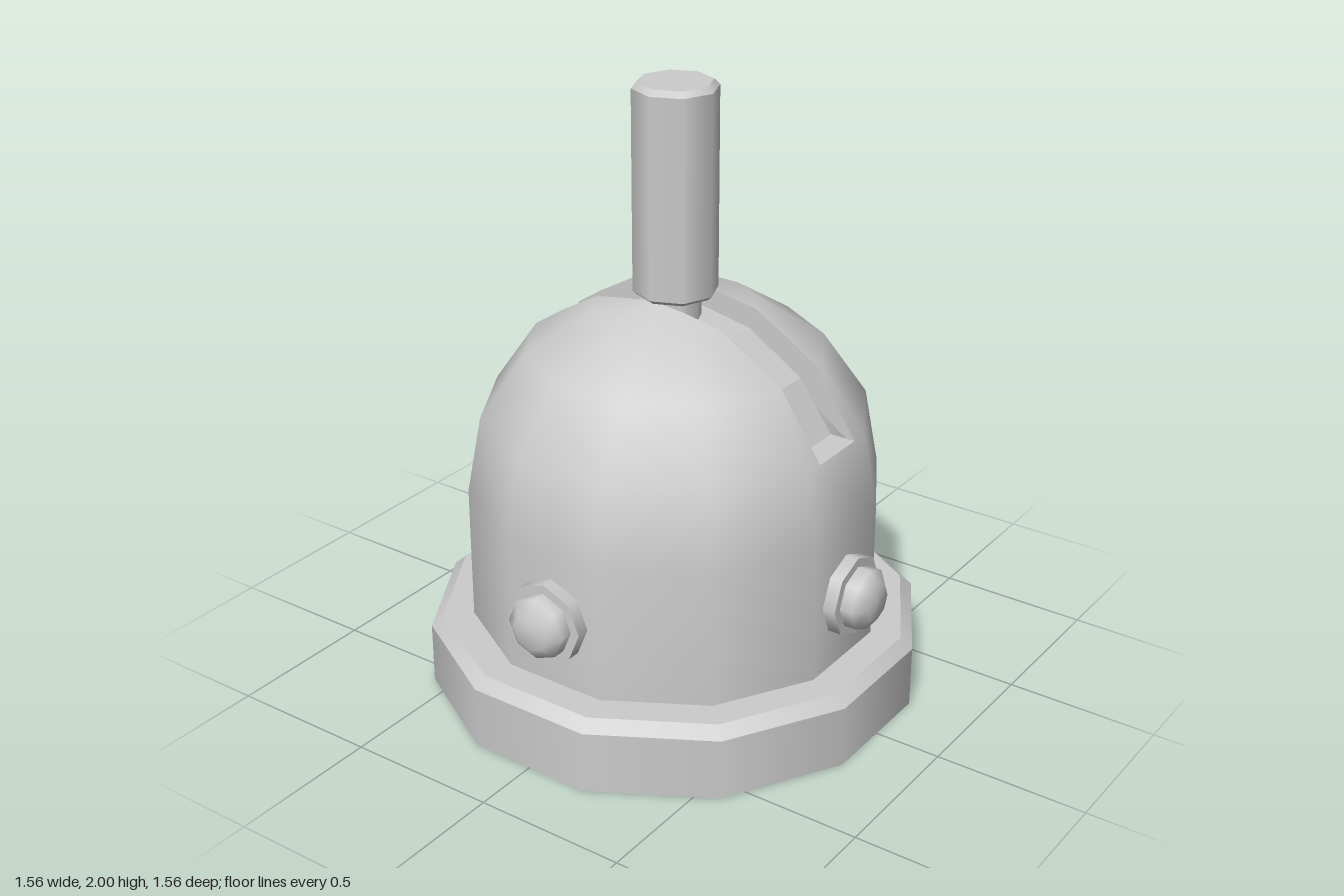
import * as THREE from 'three';
import { mergeGeometries } from 'three/addons/utils/BufferGeometryUtils.js';

const grey = new THREE.MeshStandardMaterial({ color: 0xcccccc });
const greySheet = new THREE.MeshStandardMaterial({ color: 0xcccccc, side: THREE.DoubleSide });

const SIDES = 12;
const TURN = Math.PI / SIDES;        // puts flat sides on the x and z axes
const SLOT_HALF = 0.1;
const SLOT_BOTTOM = 0.94;
const FLOOR = [[0, 1.26], [0.21, 1.22], [0.4, 1.1], [0.515, SLOT_BOTTOM]];   // z, y

const vectors = (pts, k = 1) => pts.map(([r, y]) => new THREE.Vector2(r * k, y));

// Lathe that is smooth around but sharp at every profile corner
function sharpLathe(pts, sides, start = 0, k = 1) {
  const v = vectors(pts, k);
  return mergeGeometries(v.slice(1).map((p, i) =>
    new THREE.LatheGeometry([v[i], p], sides, start)));
}

function part(name, geometry, material = grey) {
  const mesh = new THREE.Mesh(geometry, material);
  mesh.name = name;
  return mesh;
}

// Height of the slot floor at a given z
function floorY(z) {
  const a = Math.abs(z);
  for (let i = 1; i < FLOOR.length; i++) {
    const [z0, y0] = FLOOR[i - 1], [z1, y1] = FLOOR[i];
    if (a <= z1) return y0 + (y1 - y0) * (a - z0) / (z1 - z0);
  }
  return SLOT_BOTTOM;
}

// Keep the part of a polygon outside the slot on one side
function clip(poly, side) {
  const out = [];
  poly.forEach((a, i) => {
    const b = poly[(i + 1) % poly.length];
    const da = side * a.p.x - SLOT_HALF, db = side * b.p.x - SLOT_HALF;
    if (da >= 0) out.push(a);
    if (da * db < 0) {
      const t = da / (da - db);
      const cut = { p: a.p.clone().lerp(b.p, t), n: a.n.clone().lerp(b.n, t).normalize(), cut: true };
      cut.p.x = side * SLOT_HALF;
      out.push(cut);
    }
  });
  return out;
}

function flatGeometry(points) {
  const g = new THREE.BufferGeometry().setFromPoints(points);
  g.computeVertexNormals();
  return g;
}

const quad = (a, b, c, d) => [a, b, c, a, c, d];

// Dome shell with a slot running over the top from front to back
function makeDome() {
  const profile = [[0.645, 0.24], [0.645, 0.69], [0.6, SLOT_BOTTOM], [0.46, 1.15], [0.25, 1.29], [0, 1.34]];
  const lathe = new THREE.LatheGeometry(vectors(profile, 1 / Math.cos(TURN)), SIDES, TURN).toNonIndexed();
  const P = lathe.attributes.position, N = lathe.attributes.normal;
  const points = [], normals = [], walls = [];
  const emit = (poly) => {
    for (let i = 2; i < poly.length; i++) {
      for (const v of [poly[0], poly[i - 1], poly[i]]) {
        points.push(v.p);
        normals.push(...v.n.toArray());
      }
    }
  };
  const drop = (p) => new THREE.Vector3(p.x, Math.min(p.y, floorY(p.z)), p.z);

  for (let i = 0; i < P.count; i += 3) {
    const tri = [0, 1, 2].map((j) => ({
      p: new THREE.Vector3().fromBufferAttribute(P, i + j),
      n: new THREE.Vector3().fromBufferAttribute(N, i + j),
    }));
    if (tri.some((v) => v.p.y < SLOT_BOTTOM - 0.001)) {
      emit(tri);
      continue;
    }
    for (const side of [-1, 1]) {
      const poly = clip(tri, side);
      emit(poly);
      const cuts = poly.filter((v) => v.cut).map((v) => v.p);
      if (cuts.length === 2) walls.push(...quad(cuts[0], drop(cuts[0]), drop(cuts[1]), cuts[1]));
    }
  }
  const shell = new THREE.BufferGeometry().setFromPoints(points);
  shell.setAttribute('normal', new THREE.Float32BufferAttribute(normals, 3));

  // Slot floor, with a small flat ledge at each end
  const floor = [];
  const line = [...FLOOR, [0.6, SLOT_BOTTOM]];
  for (const s of [-1, 1]) {
    for (let i = 1; i < line.length; i++) {
      const at = (x, [z, y]) => new THREE.Vector3(x * s, y, z * s);
      floor.push(...quad(at(-SLOT_HALF, line[i - 1]), at(-SLOT_HALF, line[i]),
        at(SLOT_HALF, line[i]), at(SLOT_HALF, line[i - 1])));
    }
  }

  const dome = new THREE.Group();
  dome.name = 'dome';
  dome.add(part('domeShell', shell, greySheet));
  dome.add(part('slotWalls', flatGeometry(walls), greySheet));
  dome.add(part('slotFloor', flatGeometry(floor), greySheet));
  return dome;
}

// Side bolt pointing along +z: washer and rounded head
function makeBolt() {
  const bolt = new THREE.Group();
  bolt.name = 'bolt';
  const washer = sharpLathe([[0, 0.63], [0.132, 0.63], [0.132, 0.688], [0, 0.688]], 8);
  const head = new THREE.LatheGeometry(
    vectors([[0.102, 0.685], [0.102, 0.73], [0.06, 0.762], [0, 0.765]]), 8);
  for (const mesh of [part('washer', washer), part('boltHead', head)]) {
    mesh.rotation.x = Math.PI / 2;
    bolt.add(mesh);
  }
  return bolt;
}

export function createModel() {
  const model = new THREE.Group();
  model.name = 'leverDome';

  // Open skirt with a bevelled lip
  model.add(part('baseRing', sharpLathe(
    [[0.78, 0], [0.78, 0.205], [0.742, 0.24], [0.645, 0.24]], SIDES, TURN, 1 / Math.cos(TURN)), greySheet));
  model.add(makeDome());

  // Four bolts around the dome
  for (let i = 0; i < 4; i++) {
    const bolt = makeBolt();
    bolt.position.y = 0.472;
    bolt.rotation.y = i * Math.PI / 2;
    model.add(bolt);
  }

  // Lever rising from the slot
  model.add(part('leverNeck', sharpLathe([[0, 1.245], [0.082, 1.245], [0.082, 1.34]], 8)));
  model.add(part('leverGrip', sharpLathe(
    [[0, 1.325], [0.12, 1.325], [0.135, 1.338], [0.135, 1.982], [0.117, 2], [0, 2]], 8)));
  return model;
}
